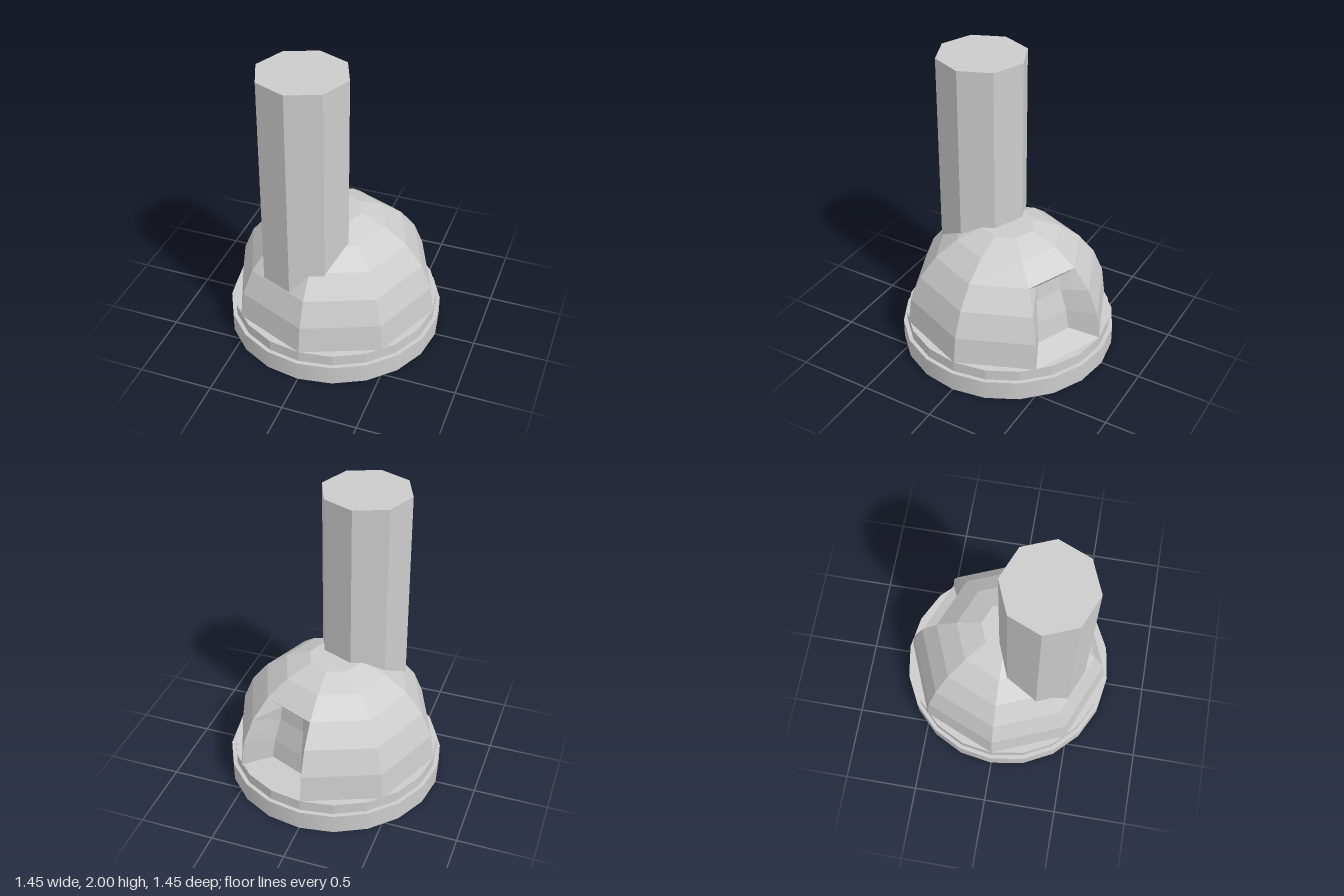
import * as THREE from 'three';

const SIDES = 8, NICHE = 3, RADIUS = 0.7, BASE_Y = 0.21;
const NICHE_ROWS = 3;

export function createModel() {
  const group = new THREE.Group();
  const flat = new THREE.MeshStandardMaterial({ color: 0xcccccc, flatShading: true });
  const smooth = new THREE.MeshStandardMaterial({ color: 0xcccccc });

  const add = (name, geometry, material, x = 0, y = 0, z = 0) => {
    const mesh = new THREE.Mesh(geometry, material);
    mesh.name = name;
    mesh.position.set(x, y, z);
    group.add(mesh);
  };

  // Stepped round base
  add('basePlinth', new THREE.CylinderGeometry(0.727, 0.727, 0.135, 20), smooth, 0, 0.0675, 0);
  add('baseStep', new THREE.CylinderGeometry(0.7, 0.7, 0.075, 20), flat, 0, 0.1725, 0);

  // Point on the dome: ring i (15 degrees apart), corner k
  const dome = (i, k) => {
    const a = (i * Math.PI) / 12, t = (k * 2 * Math.PI) / SIDES;
    const r = RADIUS * Math.cos(a);
    return [r * Math.sin(t), BASE_Y + RADIUS * Math.sin(a), r * Math.cos(t)];
  };

  // Point on the niche's back wall: [height, distance from axis, half width]
  const back = [[0.26, 0.49, 0.13], [0.4, 0.47, 0.12], [0.56, 0.43, 0.1], [0.66, 0.42, 0.095]];
  const mid = ((NICHE + 0.5) * 2 * Math.PI) / SIDES;
  const inner = (j, side) => {
    const [y, d, w] = back[j];
    return [d * Math.sin(mid) + side * w * Math.cos(mid), y,
      d * Math.cos(mid) - side * w * Math.sin(mid)];
  };

  const makeGeometry = (quads) => {
    const positions = [];
    for (const [a, b, c, d] of quads) positions.push(...a, ...b, ...c, ...a, ...c, ...d);
    const geometry = new THREE.BufferGeometry();
    geometry.setAttribute('position', new THREE.Float32BufferAttribute(positions, 3));
    geometry.computeVertexNormals();
    return geometry;
  };

  // Faceted dome with a flat top, left open where the niche goes
  const shell = [];
  for (let k = 0; k < SIDES; k++) {
    for (let i = 0; i < 5; i++) {
      if (k === NICHE && i < NICHE_ROWS) continue;
      shell.push([dome(i, k), dome(i, k + 1), dome(i + 1, k + 1), dome(i + 1, k)]);
    }
  }
  for (let k = 0; k < SIDES; k += 2) {
    shell.push([dome(5, k), dome(5, k + 1), dome(5, k + 2), [0, dome(5, 0)[1], 0]]);
  }
  add('dome', makeGeometry(shell), flat);

  // Recessed niche: sill, ceiling, side walls and back wall
  const L = NICHE, R = NICHE + 1, top = NICHE_ROWS;
  const niche = [
    [dome(0, L), dome(0, R), inner(0, 1), inner(0, -1)],
    [inner(top, -1), inner(top, 1), dome(top, R), dome(top, L)],
  ];
  for (let j = 0; j < top; j++) {
    niche.push([inner(j, -1), inner(j, 1), inner(j + 1, 1), inner(j + 1, -1)]);
    niche.push([dome(j, L), inner(j, -1), inner(j + 1, -1), dome(j + 1, L)]);
    niche.push([inner(j, 1), dome(j, R), dome(j + 1, R), inner(j + 1, 1)]);
  }
  add('niche', makeGeometry(niche), flat);

  // Eight-sided chimney sunk into the front of the dome
  add('chimney', new THREE.CylinderGeometry(0.297, 0.297, 1.5, 8), flat, -0.115, 1.25, 0.258);

  return group;
}
